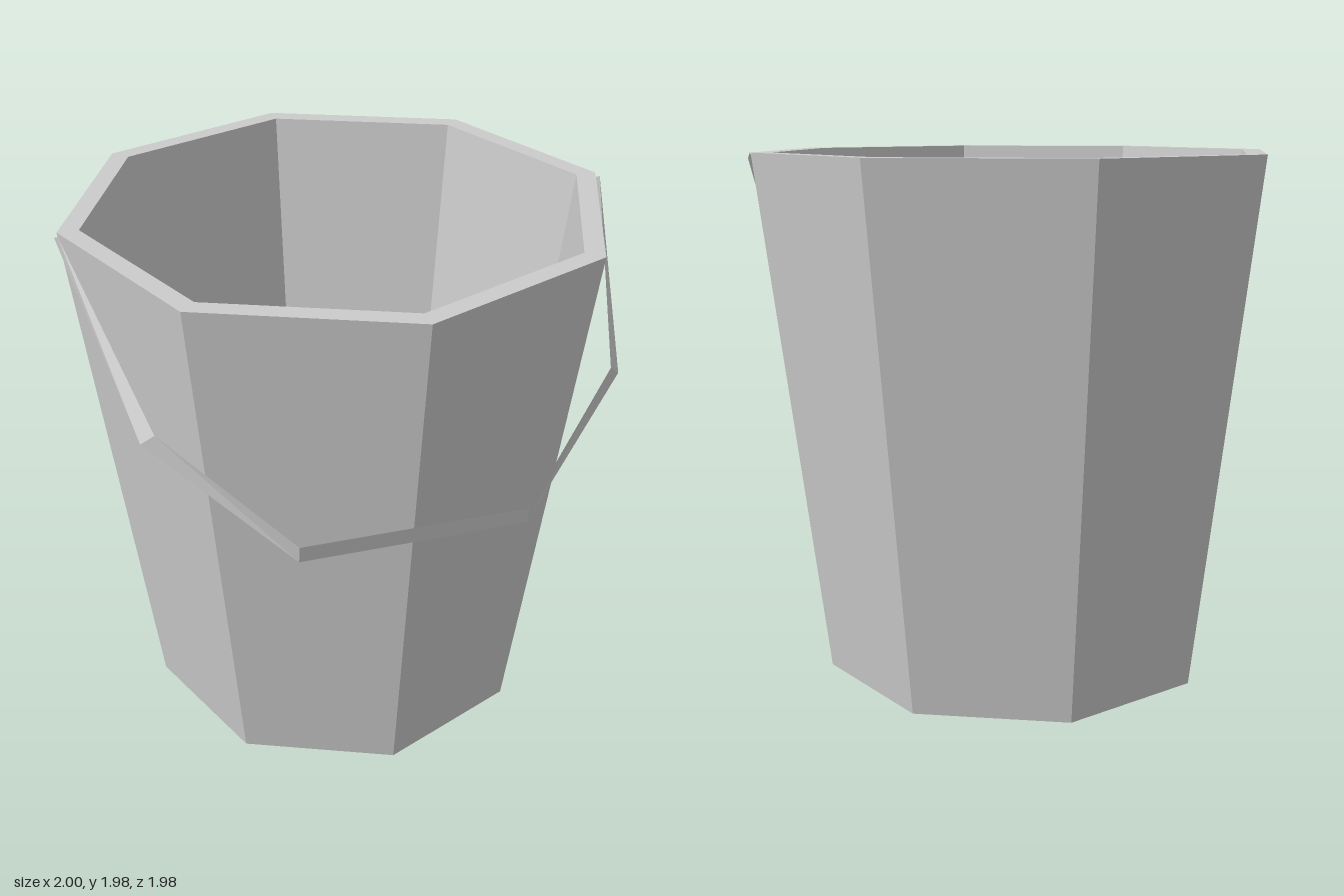
import * as THREE from 'three';

const material = new THREE.MeshStandardMaterial({ color: 0xcccccc, flatShading: true });
const thinMaterial = new THREE.MeshStandardMaterial({
  color: 0xcccccc, flatShading: true, side: THREE.DoubleSide,
});

// Eight-sided tapered bucket: underside, outer wall, rim, inner wall, inner floor
function createBucket() {
  const profile = [[0, 0], [0.75, 0], [0.99, 1.98], [0.915, 1.98], [0.695, 0.16], [0, 0.16]]
    .map(([r, y]) => new THREE.Vector2(r, y));
  const bucket = new THREE.Mesh(new THREE.LatheGeometry(profile, 8), material);
  bucket.name = 'bucket';
  return bucket;
}

// Hanging handle: a thin flat band swept through mirrored pairs of edge points
function createHandle() {
  // [lower edge, upper edge] from the left pivot to the front bar
  const half = [
    [[1.0, 1.96, -0.01], [0.99, 1.98, 0.04]],
    [[0.845, 1.48, 0.61], [0.8, 1.52, 0.635]],
    [[0.4, 1.13, 0.91], [0.4, 1.195, 0.92]],
  ];
  const mirrored = half.map((pair) => pair.map(([x, y, z]) => [-x, y, z])).reverse();
  const sections = [...half, ...mirrored];

  const index = [];
  for (let i = 0; i < sections.length - 1; i++) {
    const a = i * 2, b = a + 1, c = a + 2, d = a + 3;
    // The diagonal swaps sides past the middle so both halves match
    if (i < sections.length / 2) index.push(a, b, c, b, d, c);
    else index.push(a, b, d, a, d, c);
  }
  const geometry = new THREE.BufferGeometry();
  geometry.setAttribute('position', new THREE.Float32BufferAttribute(sections.flat(2), 3));
  geometry.setIndex(index);
  geometry.computeVertexNormals();
  const handle = new THREE.Mesh(geometry, thinMaterial);
  handle.name = 'handle';
  return handle;
}

export function createModel() {
  const model = new THREE.Group();
  model.name = 'pail';
  model.add(createBucket(), createHandle());
  return model;
}
